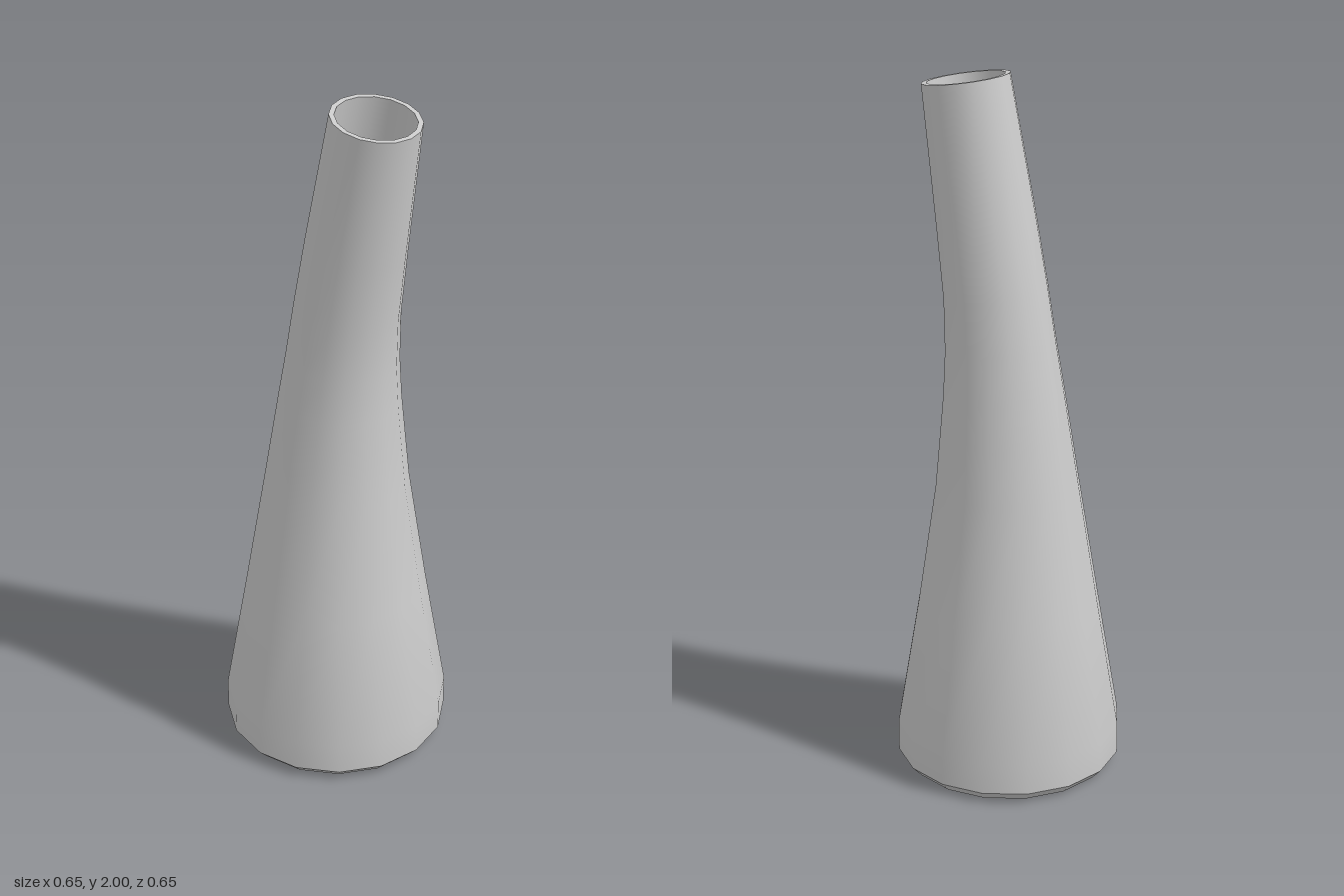
import * as THREE from 'three';
import { toCreasedNormals } from 'three/addons/utils/BufferGeometryUtils.js';

const SIDES = 16;
const WALL = 0.014;

// Outer cross-sections: [centre x, centre y, radius, tilt]
const outer = [
  [0, 0, 0.295, 0], [0, 0.03, 0.323, 0], [0, 0.12, 0.323, 0],
  [0, 0.5, 0.259, 0], [0.003, 0.85, 0.204, 0], [0.01, 1.0, 0.185, 0.03],
  [0.016, 1.12, 0.17, 0.065], [0.026, 1.25, 0.156, 0.105], [0.042, 1.4, 0.146, 0.14],
  [0.074, 1.6, 0.138, 0.155], [0.14, 1.981, 0.122, 0.155],
];

// Skin a stack of tilted rings, closing both ends with fans
function skin(sections) {
  const pos = [], idx = [];
  for (const [cx, cy, r, tilt] of sections) {
    for (let i = 0; i < SIDES; i++) {
      const a = (i / SIDES) * Math.PI * 2;
      const u = r * Math.cos(a);
      pos.push(cx + u * Math.cos(tilt), cy - u * Math.sin(tilt), r * Math.sin(a));
    }
  }
  for (let s = 0; s < sections.length - 1; s++) {
    for (let i = 0; i < SIDES; i++) {
      const j = (i + 1) % SIDES;
      const a = s * SIDES + i, b = s * SIDES + j;
      const c = a + SIDES, d = b + SIDES;
      idx.push(a, c, b, b, c, d);
    }
  }
  // underside, then inner floor
  const last = (sections.length - 1) * SIDES;
  const under = pos.length / 3, floor = under + 1;
  const end = sections[sections.length - 1];
  pos.push(sections[0][0], sections[0][1], 0, end[0], end[1], 0);
  for (let i = 0; i < SIDES; i++) {
    const j = (i + 1) % SIDES;
    idx.push(under, i, j, floor, last + j, last + i);
  }
  const g = new THREE.BufferGeometry();
  g.setAttribute('position', new THREE.Float32BufferAttribute(pos, 3));
  g.setIndex(idx);
  return toCreasedNormals(g, 0.6);
}

export function createModel() {
  const group = new THREE.Group();
  group.name = 'bentNeckVase';

  // Inner wall runs back down from the rim to a floor above the base
  const inner = outer.slice(1).reverse().map(([x, y, r, t]) => [x, y, r - WALL, t]);
  const material = new THREE.MeshStandardMaterial({ color: 0xcccccc });
  const vase = new THREE.Mesh(skin([...outer, ...inner]), material);
  vase.name = 'vaseBody';
  group.add(vase);
  return group;
}
